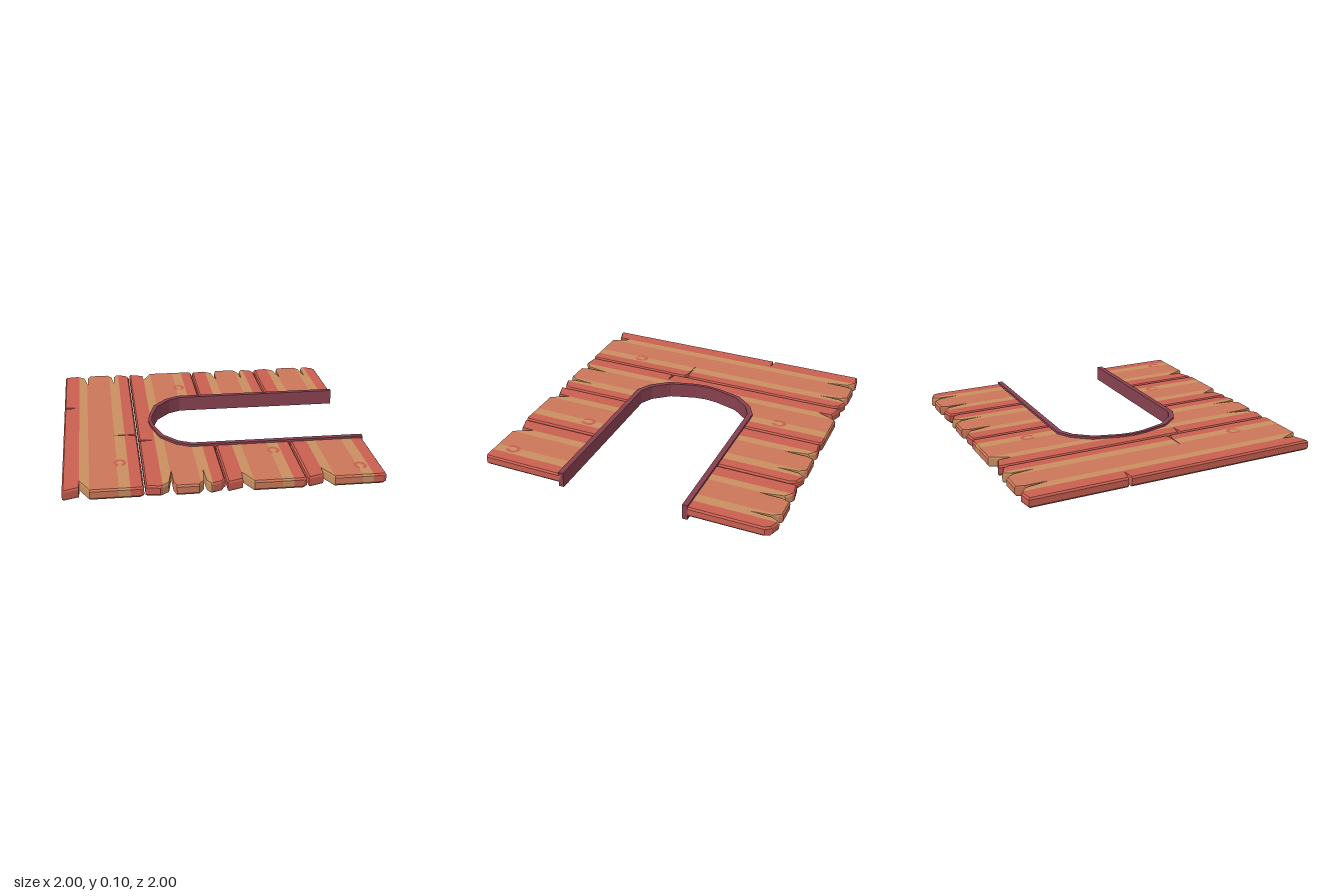
import * as THREE from 'three';

const mat = (name, color) => {
  const m = new THREE.MeshStandardMaterial({ color });
  m.name = name;
  return m;
};

// Piecewise-linear profile: height at x, and the points of a span
const at = (p, x) => {
  if (x <= p[0][0]) return p[0][1];
  for (let i = 1; i < p.length; i++) {
    const [x0, z0] = p[i - 1], [x1, z1] = p[i];
    if (x <= x1) return z0 + (z1 - z0) * (x - x0) / (x1 - x0);
  }
  return p[p.length - 1][1];
};
const span = (p, a, b) => [
  [a, at(p, a)],
  ...p.filter(([x]) => x > a + 1e-4 && x < b - 1e-4),
  [b, at(p, b)],
];
const shift = (p, dx) => p.map(([x, z]) => [x + dx, z]);
const mirror = (p) => p.map(([x, z]) => [x, -z]);

// Extrudes an outline given in x, z upwards
function slab(points, height, steps = 1) {
  const shape = new THREE.Shape(points.map(([x, z]) => new THREE.Vector2(x, -z)));
  const g = new THREE.ExtrudeGeometry(shape, { depth: height, steps, bevelEnabled: false });
  return g.rotateX(-Math.PI / 2);
}

const LOW = 0.025, THICK = 0.066, WIDTH = 0.492;

// Chamfers the long edges and the ends of a board by pulling in its top and bottom rings
function chamfer(g, left, right) {
  const p = g.attributes.position;
  const levels = [0, 0.012, THICK - 0.012, THICK];
  for (let i = 0; i < p.count; i++) {
    const ring = Math.round(p.getY(i) / THICK * 3);
    p.setY(i, LOW + levels[ring]);
    if (ring === 1 || ring === 2) continue;
    const x = p.getX(i), z = p.getZ(i);
    if (Math.abs(x - left) < 1e-3) p.setX(i, x + 0.009);
    if (Math.abs(x - right) < 1e-3) p.setX(i, x - 0.009);
    if (Math.abs(z) > 0.86) p.setZ(i, z * 0.991);
  }
  g.computeVertexNormals();
  return g;
}

export function createModel() {
  const red = mat('red wood', 0xc95f50);
  const orange = mat('orange wood', 0xcb7759);
  const tan = mat('tan wood', 0xc88f60);
  const plum = mat('plum trim', 0x87414f);
  const model = new THREE.Group();
  model.name = 'plankFloor';

  // Broken plank ends, measured from the plank's left edge
  const notched = [[0, 0.99], [0.1, 0.957], [0.105, 0.87], [0.165, 0.998], [0.47, 0.998], [WIDTH, 0.985]];
  const cracked = [[0, -0.985], [0.09, -0.998], [0.11, -0.985], [0.145, -0.955], [0.172, -0.79],
    [0.174, -0.95], [0.19, -1], [0.325, -1], [0.357, -0.955], [0.372, -0.8], [0.376, -0.955],
    [0.4, -1], [0.465, -0.975], [WIDTH, -0.94]];
  // Half outline of the opening, mirrored to the other side
  const opening = [[-0.4, 0.08], [-0.345, 0.265], [-0.25, 0.385], [-0.16, 0.43], [1, 0.43]];

  const stripes = [
    [0, 0.105, red], [0.105, 0.165, tan], [0.165, 0.34, orange],
    [0.34, 0.41, tan], [0.41, WIDTH, red],
  ];
  const planks = [
    { x: -1, leftCrack: -0.325, rightCrack: 0.2 },
    { x: -0.5, flip: true, leftCrack: 0.31 },
    { x: 0 },
    { x: 0.503 },
  ];

  planks.forEach(({ x, flip, leftCrack, rightCrack }, n) => {
    const plank = new THREE.Group();
    plank.name = `plank${n + 1}`;
    const front = shift(flip ? mirror(cracked) : notched, x);
    const back = shift(flip ? mirror(notched) : cracked, x);
    const add = (a, b, lo, hi, material, first, last) => {
      const pts = span(lo, a, b);
      if (last && rightCrack !== undefined) {
        pts.push([b, rightCrack - 0.006], [b - 0.079, rightCrack], [b, rightCrack + 0.022]);
      }
      pts.push(...span(hi, a, b).reverse());
      if (first && leftCrack !== undefined) {
        pts.push([a, leftCrack + 0.006], [a + 0.095, leftCrack], [a, leftCrack - 0.016]);
      }
      const g = chamfer(slab(pts, THICK, 3), x, x + WIDTH);
      const mesh = new THREE.Mesh(g, material);
      mesh.name = 'plankStripe';
      plank.add(mesh);
    };
    stripes.forEach(([a, b, material], i) => {
      const l = x + a, r = x + b;
      const first = i === 0, last = i === stripes.length - 1;
      if (l < -0.45) {
        add(l, r, back, front, material, first, last);
      } else {
        add(l, r, opening, front, material);
        add(l, r, back, mirror(opening), material);
      }
    });
    model.add(plank);
  });

  // Thin end of the long split in the first plank
  const split = new THREE.Mesh(slab([[-0.585, 0.198], [-0.585, 0.207], [-0.685, 0.2]], 0.003), plum);
  split.name = 'plankSplit';
  split.position.y = LOW + THICK - 0.001;
  model.add(split);

  // Wood knots
  for (const [x, z] of [[-0.14, -0.65], [-0.64, 0.64], [0.36, 0.57], [0.86, 0.865]]) {
    const g = new THREE.RingGeometry(0.022, 0.043, 8, 1, -Math.PI / 2 + 0.35, Math.PI * 2 - 0.7);
    const knot = new THREE.Mesh(g.scale(1, 1.25, 1).rotateX(-Math.PI / 2), red);
    knot.name = 'woodKnot';
    knot.position.set(x, LOW + THICK + 0.002, z);
    model.add(knot);
  }

  // Raised trim around the opening
  const outer = [[0.995, 0.447], [-0.165, 0.447], [-0.26, 0.395], [-0.358, 0.275], [-0.405, 0.09], [-0.415, 0]];
  const inner = [[0.995, 0.412], [-0.155, 0.412], [-0.24, 0.368], [-0.333, 0.255], [-0.383, 0.085], [-0.392, 0]];
  const loop = (half) => [...half, ...mirror(half.slice(0, -1)).reverse()];
  const trim = new THREE.Mesh(slab([...loop(outer), ...loop(inner).reverse()], 0.105), plum);
  trim.name = 'openingTrim';
  model.add(trim);

  return model;
}
